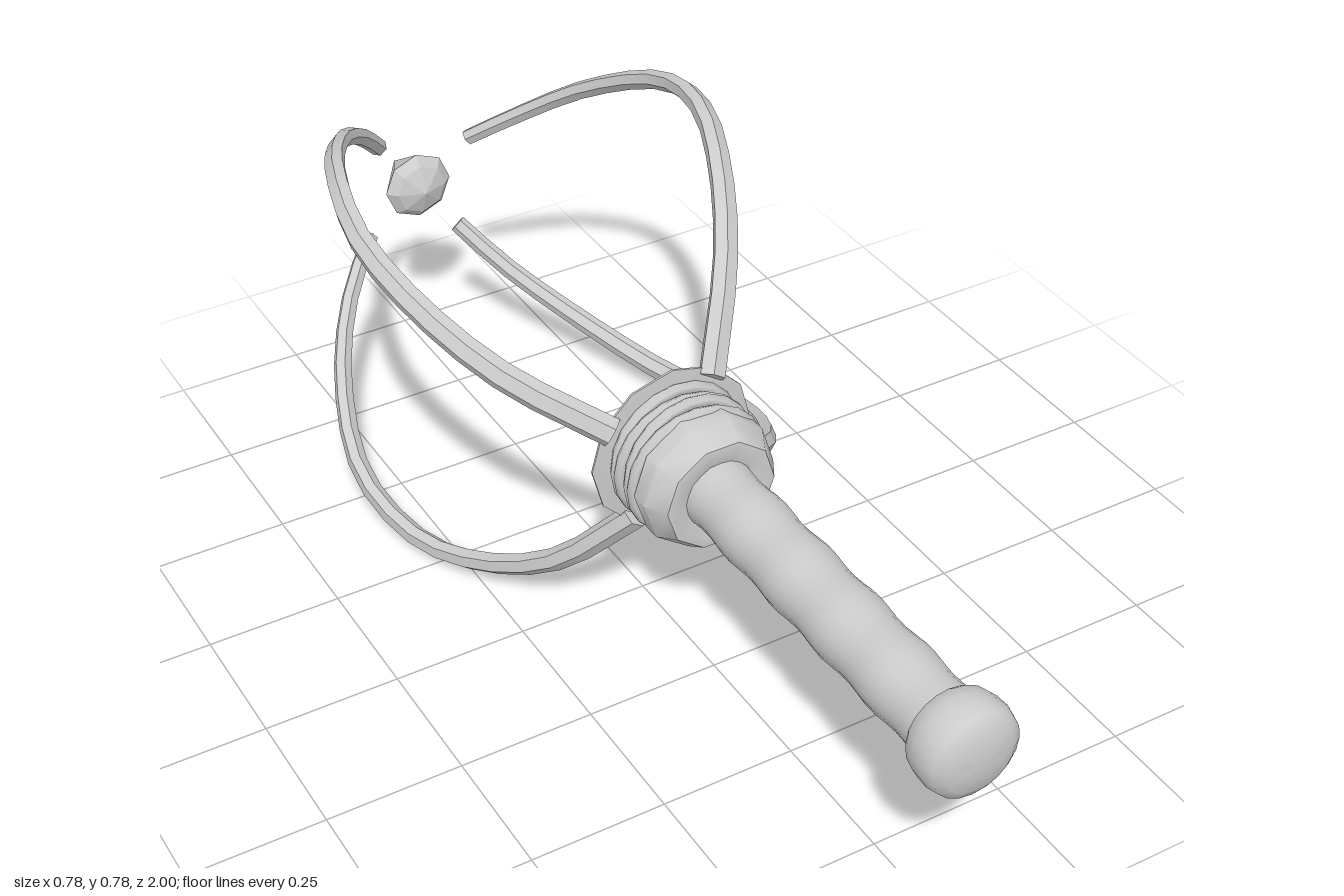
import * as THREE from 'three';
import { toCreasedNormals } from 'three/addons/utils/BufferGeometryUtils.js';

const AXIS_Y = 0.39;

export function createModel() {
  const group = new THREE.Group();
  const steel = new THREE.MeshStandardMaterial({ color: 0xcccccc });
  steel.name = 'grey steel';

  const add = (name, geometry) => {
    const mesh = new THREE.Mesh(geometry, steel);
    mesh.name = name;
    mesh.position.y = AXIS_Y;
    group.add(mesh);
    return mesh;
  };

  // Turned part along z from [radius, z] pairs, back to front
  const turned = (name, profile, sides, crease, start = 0) => {
    const points = profile.map(([r, z]) => new THREE.Vector2(r, z));
    const geometry = new THREE.LatheGeometry(points, sides, start).rotateX(Math.PI / 2);
    return add(name, toCreasedNormals(geometry, crease));
  };

  // Grip with gentle waves
  const grip = [];
  for (let i = 0; i <= 28; i++) {
    const t = i / 28;
    grip.push([0.0645 + 0.0025 * Math.cos(t * Math.PI * 10), 0.23 + t * 0.69]);
  }
  turned('grip', grip, 20, 0.6);

  // Pommel with a domed end
  turned('pommel', [[0, 0.9], [0.072, 0.9], [0.08, 0.91], [0.085, 0.93],
    [0.086, 0.955], [0.08, 0.978], [0.062, 0.99], [0.032, 0.997], [0, 1]], 20, 0.8);

  // Faceted collar at the grip's end
  turned('collar', [[0, 0.085], [0.115, 0.085], [0.115, 0.18], [0.128, 0.19], [0.128, 0.222],
    [0.105, 0.262], [0.09, 0.264], [0.06, 0.255]], 10, 0.64, Math.PI / 2);

  // Flared end plate carrying the prongs
  turned('endPlate', [[0, 0.07], [0.098, 0.07], [0.158, 0.097], [0.158, 0.101], [0.11, 0.105]], 12, 0.35);

  // Binding rings, slightly tilted
  for (let i = 0; i < 4; i++) {
    const ring = add('bindingRing', new THREE.TorusGeometry(0.12, 0.012, 6, 20));
    ring.position.z = 0.113 + i * 0.022;
    ring.rotation.x = i % 2 ? 0.04 : -0.05;
    ring.rotation.y = i % 2 ? -0.05 : 0.04;
  }

  // Curved prongs that twist slightly around the axis
  const prong = prongGeometry();
  for (let i = 0; i < 4; i++) {
    add('prong', prong).rotation.z = i * Math.PI / 2;
  }

  // Floating pointed crystal
  turned('crystal', [[0, -1], [0.07, -0.89], [0.052, -0.872], [0, -0.852]], 8, 0.1);

  return group;
}

// Hexagonal bar swept along the prong's curve, thinner towards the tip
function prongGeometry() {
  const curve = new THREE.CatmullRomCurve3([
    [0.075, 0.12, 0.105], [0.17, 0.262, -0.01], [0.245, 0.34, -0.15], [0.304, 0.372, -0.31],
    [0.33, 0.332, -0.5], [0.275, 0.238, -0.69], [0.195, 0.148, -0.81], [0.112, 0.08, -0.885],
  ].map((p) => new THREE.Vector3(...p)));
  const steps = 18, sides = 6;
  const vertices = [], index = [];
  for (let i = 0; i <= steps; i++) {
    const t = i / steps;
    const p = curve.getPointAt(t);
    const tangent = curve.getTangentAt(t);
    const across = new THREE.Vector3(-p.y, p.x, 0);
    across.addScaledVector(tangent, -across.dot(tangent)).normalize();
    const outward = tangent.clone().cross(across);
    const size = 1 - 0.35 * t;
    for (let j = 0; j < sides; j++) {
      const a = (j / sides) * Math.PI * 2;
      const v = p.clone()
        .addScaledVector(across, 0.027 * size * Math.cos(a))
        .addScaledVector(outward, 0.022 * size * Math.sin(a));
      vertices.push(v.x, v.y, v.z);
    }
  }
  for (let i = 0; i < steps; i++) {
    for (let j = 0; j < sides; j++) {
      const a = i * sides + j, b = i * sides + (j + 1) % sides;
      index.push(a, b, b + sides, a, b + sides, a + sides);
    }
  }
  // End caps
  const last = steps * sides;
  for (let j = 1; j < sides - 1; j++) {
    index.push(0, j + 1, j, last, last + j, last + j + 1);
  }
  const geometry = new THREE.BufferGeometry();
  geometry.setAttribute('position', new THREE.Float32BufferAttribute(vertices, 3));
  geometry.setIndex(index);
  return toCreasedNormals(geometry, 0.5);
}
